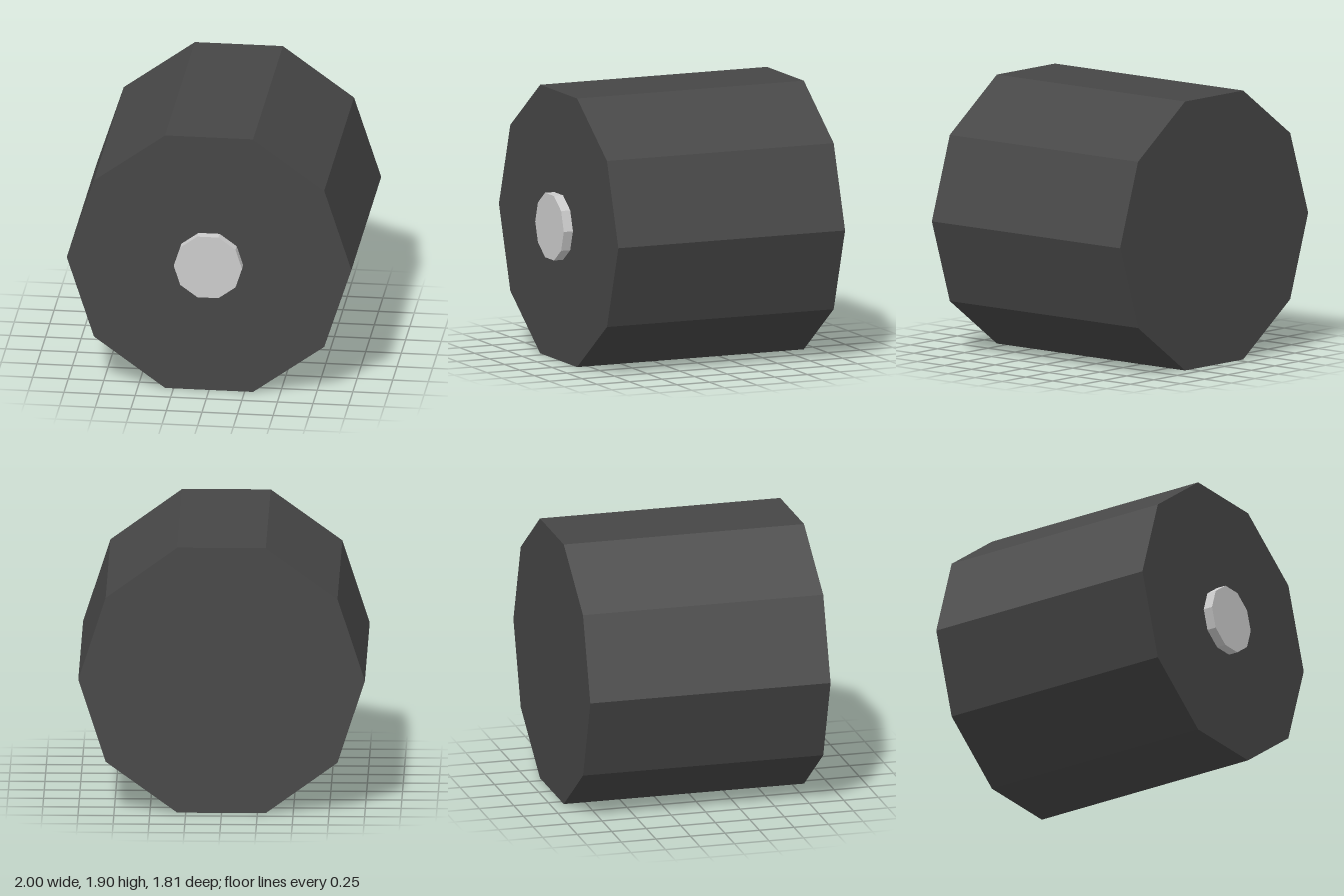
import * as THREE from 'three';

const SIDES = 10;
const CENTER_Y = Math.sin(Math.PI * 0.4); // flat facet rests on the ground

// Ten-sided prism lying along z, with corners on the x axis
function prism(name, radius, zBack, zFront, color) {
  const geometry = new THREE.CylinderGeometry(radius, radius, zFront - zBack, SIDES, 1, false, Math.PI / 2);
  geometry.rotateX(Math.PI / 2);
  const mesh = new THREE.Mesh(geometry, new THREE.MeshStandardMaterial({ color, flatShading: true }));
  mesh.name = name;
  mesh.position.set(0, CENTER_Y, (zBack + zFront) / 2);
  return mesh;
}

export function createModel() {
  const group = new THREE.Group();
  group.name = 'wheel';
  // Dark tyre body
  group.add(prism('tyre', 1, -0.905, 0.835, 0x464646));
  // Pale hub cap on the front, seated slightly inside the tyre
  group.add(prism('hubCap', 0.24, 0.8, 0.905, 0xcccccc));
  return group;
}
